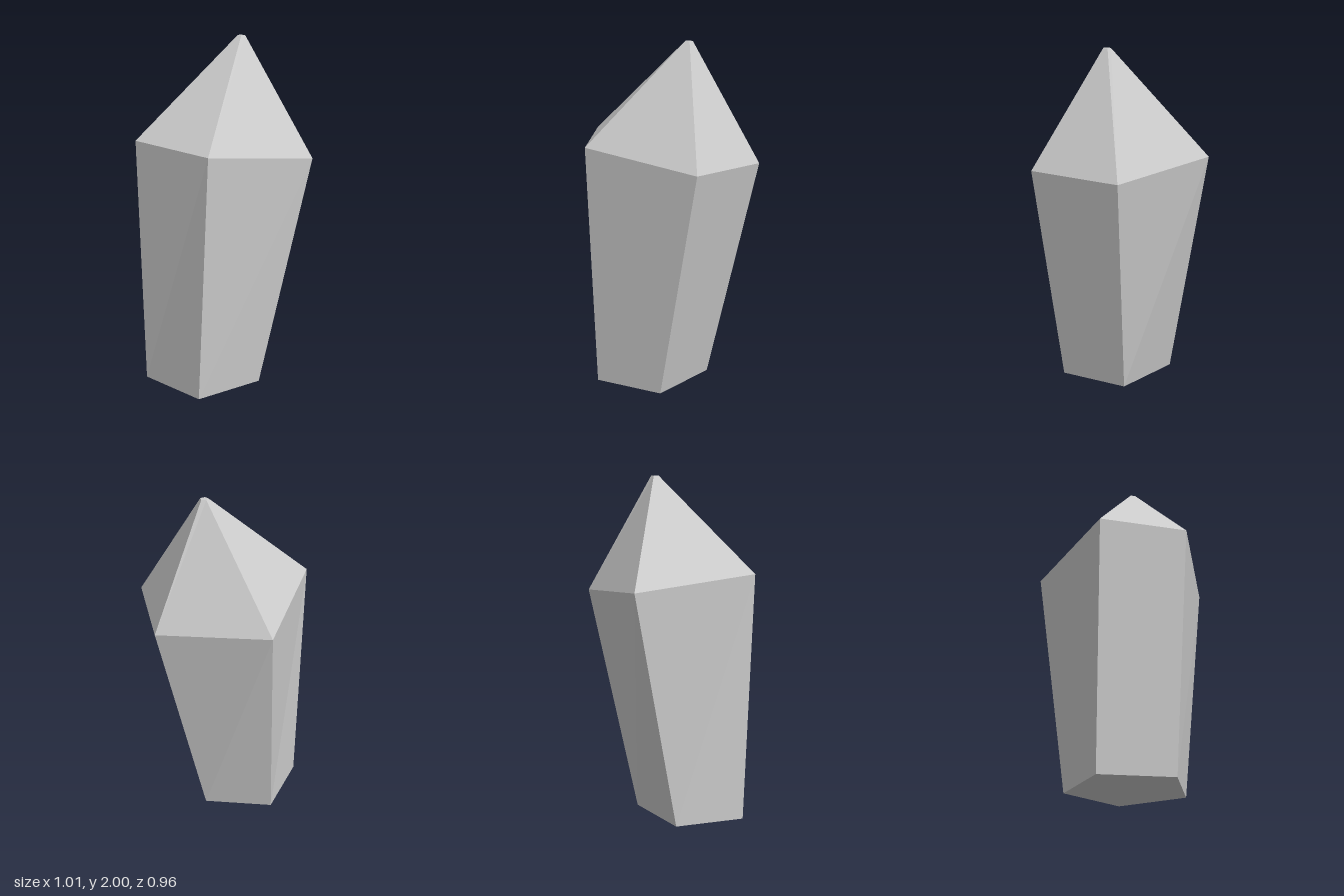
import * as THREE from 'three';

const SIDES = 5;

// Regular five-sided ring, starting at the model's right and running round the front
function ring(cx, y, cz, radius) {
  return Array.from({ length: SIDES }, (_, i) => {
    const a = THREE.MathUtils.degToRad(162 + 72 * i);
    return [cx + radius * Math.cos(a), y, cz - radius * Math.sin(a)];
  });
}

// Flat-shaded geometry from a list of triangles
function facets(triangles) {
  const geometry = new THREE.BufferGeometry();
  geometry.setAttribute('position', new THREE.Float32BufferAttribute(triangles.flat(2), 3));
  geometry.computeVertexNormals();
  return geometry;
}

// Band of sloping faces joining a lower ring to an upper ring
function band(lower, upper) {
  return lower.flatMap((a, i) => {
    const j = (i + 1) % SIDES;
    return [[a, lower[j], upper[j]], [a, upper[j], upper[i]]];
  });
}

// Fan of triangles closing a ring
function cap(points, facingUp) {
  const p = facingUp ? points : [...points].reverse();
  return [1, 2, 3].map((i) => [p[0], p[i], p[i + 1]]);
}

export function createModel() {
  const model = new THREE.Group();
  model.name = 'crystal';
  const stone = new THREE.MeshStandardMaterial({ color: 0xcccccc, flatShading: true });
  stone.name = 'pale grey stone';

  // Foot and tip are regular; the tilted shoulder ring is irregular
  const foot = ring(-0.13, 0, 0.09, 0.352);
  const shoulder = [
    [-0.508, 1.46, 0], [-0.328, 1.44, 0.467], [0.344, 1.35, 0.476],
    [0.505, 1.33, -0.028], [0.033, 1.39, -0.48],
  ];
  const tip = ring(0.121, 2, 0.087, 0.023);

  const add = (name, triangles) => {
    const mesh = new THREE.Mesh(facets(triangles), stone);
    mesh.name = name;
    model.add(mesh);
  };

  // Tapered shaft with its base
  add('shaft', [...band(foot, shoulder), ...cap(foot, false)]);
  // Pointed crown with a tiny flat top
  add('crown', [...band(shoulder, tip), ...cap(tip, true)]);
  return model;
}
